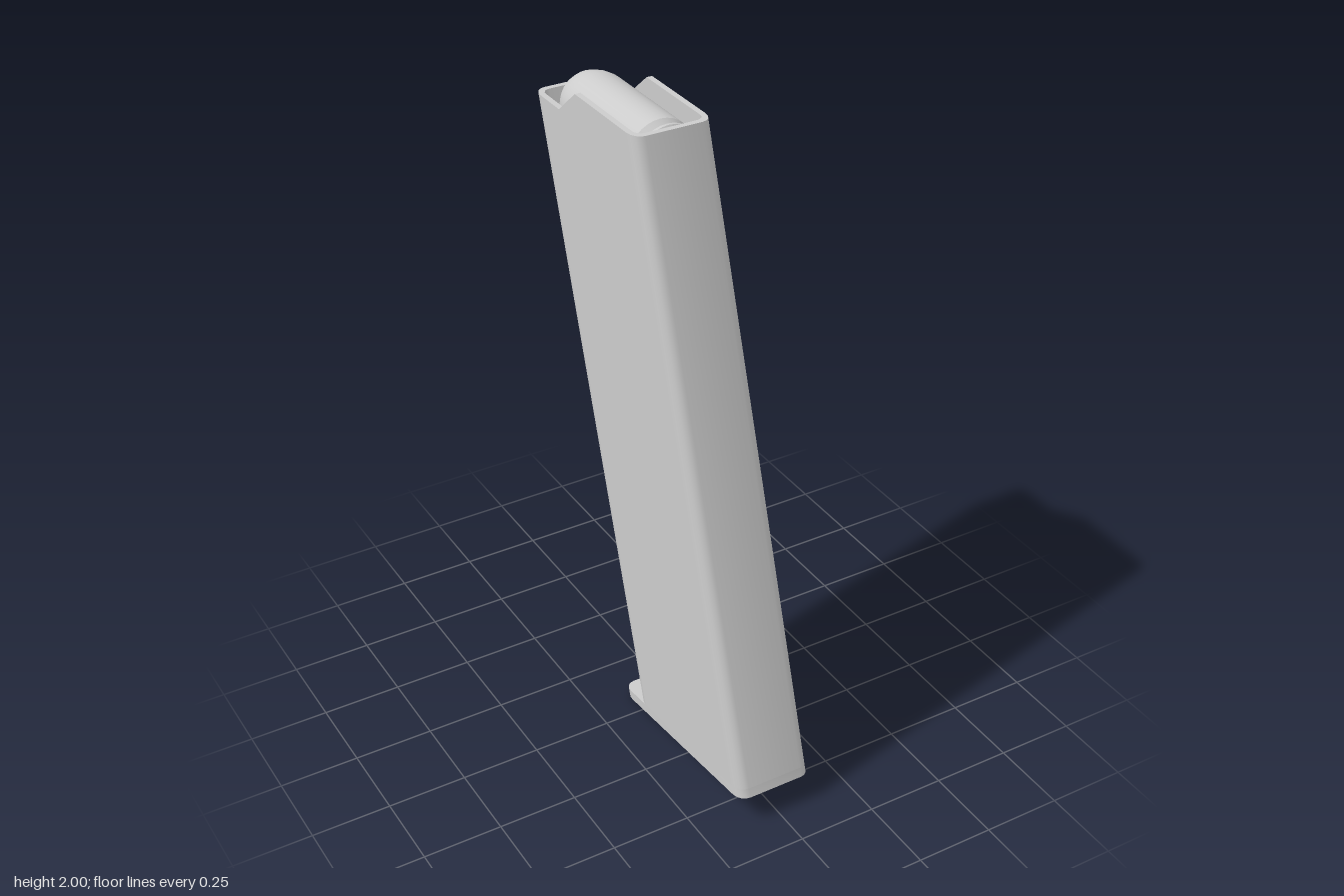
import * as THREE from 'three';
import { toCreasedNormals } from 'three/addons/utils/BufferGeometryUtils.js';

const LEAN = 0.314; // backward drift in z per unit of height
const HALF = 0.125, WALL = 0.018, CORNER = 0.045;
const BACK = -0.627; // rear face, measured along the lean at y = 2
const FLOOR = 0.03;
const TOP = 2, REAR_TOP = 1.915;

// s is the z a slanted line has at y = 2
const zAt = (s, y) => s + LEAN * (TOP - y);
// height of the sloping base (raised by h) along the slanted line s
const baseY = (s, h) => (0.125 * (s + LEAN * TOP + 0.1) + h) / (1 + 0.125 * LEAN);

export function createModel() {
  const model = new THREE.Group();
  const material = new THREE.MeshStandardMaterial({ color: 0xcccccc });

  function add(name, geometry, parent = model) {
    const mesh = new THREE.Mesh(toCreasedNormals(geometry, 0.6), material);
    mesh.name = name;
    parent.add(mesh);
    return mesh;
  }

  // Extrudes a plan outline of [x, s] points along the lean, from low(s) to high(s)
  function leanExtrude(points, low, high) {
    const shape = new THREE.Shape(points.map(([x, s]) => new THREE.Vector2(x, -s)));
    const geometry = new THREE.ExtrudeGeometry(shape, { depth: 1, bevelEnabled: false });
    const p = geometry.attributes.position;
    for (let i = 0; i < p.count; i++) {
      const s = -p.getY(i);
      const y = THREE.MathUtils.lerp(low(s), high(s), p.getZ(i));
      p.setXYZ(i, p.getX(i), y, zAt(s, y));
    }
    return geometry;
  }

  // Rounded end of the plan, running from +x to -x; dir = 1 for front, -1 for rear
  function endCurve(edge, dir, inset) {
    const rx = 0.035 - inset * 0.6, rs = CORNER - inset;
    const half = HALF - inset, points = [];
    for (let i = 0; i <= 4; i++) {
      const a = (i / 4) * Math.PI / 2;
      points.push([half - rx + rx * Math.cos(a), edge + dir * (rs * Math.sin(a) - CORNER)]);
    }
    return [...points, ...points.map(([x, s]) => [-x, s]).reverse()];
  }

  // Front and rear walls with their rounded corners
  for (const [name, edge, dir, top] of [['frontWall', 0, 1, TOP], ['rearWall', BACK, -1, REAR_TOP]]) {
    const outline = [...endCurve(edge, dir, 0), ...endCurve(edge, dir, WALL).reverse()];
    add(name, leanExtrude(outline, s => baseY(s, FLOOR), () => top));
  }

  // Side walls with the stepped top edge; the left one has viewing holes
  const toShape = ([z, y]) => new THREE.Vector2(-z, y);
  const sFront = -CORNER, sBack = BACK + CORNER;
  const yFront = baseY(sFront, FLOOR), yBack = baseY(sBack, FLOOR);
  const sideOutline = [
    [zAt(sFront, yFront), yFront], [zAt(sBack, yBack), yBack],
    [zAt(sBack, REAR_TOP), REAR_TOP], [-0.44, REAR_TOP],
    [-0.34, TOP], [zAt(sFront, TOP), TOP],
  ].map(toShape);

  const ROUNDS = 7, PITCH = 0.218, ROUND_Y = 1.895, RADIUS = 0.105;

  for (const [name, x, holed] of [['leftWall', HALF - WALL, true], ['rightWall', -HALF, false]]) {
    const shape = new THREE.Shape(sideOutline);
    for (let i = 1; holed && i < ROUNDS; i++) {
      const y = ROUND_Y - i * PITCH;
      const corners = [[-0.26, -0.032], [-0.34, -0.032], [-0.34, 0.032], [-0.26, 0.032]];
      shape.holes.push(new THREE.Path(corners.map(([s, dy]) => toShape([zAt(s, y + dy), y + dy]))));
    }
    const geometry = new THREE.ExtrudeGeometry(shape, { depth: WALL, bevelEnabled: false });
    add(name, geometry.rotateY(Math.PI / 2).translate(x, 0, 0));
  }

  // Floor plate, reaching out behind as a lip
  const lip = -0.1 - LEAN * TOP;
  const plate = [...endCurve(0, 1, 0), ...endCurve(lip, -1, 0).reverse()];
  add('floorPlate', leanExtrude(plate, s => baseY(s, 0), s => baseY(s, FLOOR)));

  // Stack of cartridges, noses to the rear
  const profile = [
    [0, 0], [0.095, 0], [RADIUS, 0.008], [RADIUS, 0.018], [0.09, 0.022], [0.09, 0.034],
    [RADIUS, 0.055], [RADIUS, 0.42], [0.1, 0.45], [0.088, 0.485], [0.068, 0.515],
    [0.04, 0.537], [0.018, 0.545], [0, 0.547],
  ].map(([r, l]) => new THREE.Vector2(r, l));
  const roundGeometry = new THREE.LatheGeometry(profile, 32).rotateX(-Math.PI / 2);
  const stack = new THREE.Group();
  stack.name = 'cartridgeStack';
  model.add(stack);
  for (let i = 0; i < ROUNDS; i++) {
    const y = ROUND_Y - i * PITCH;
    add('cartridge', roundGeometry, stack).position.set(0, y, -0.022 + LEAN * i * PITCH);
  }

  return model;
}
